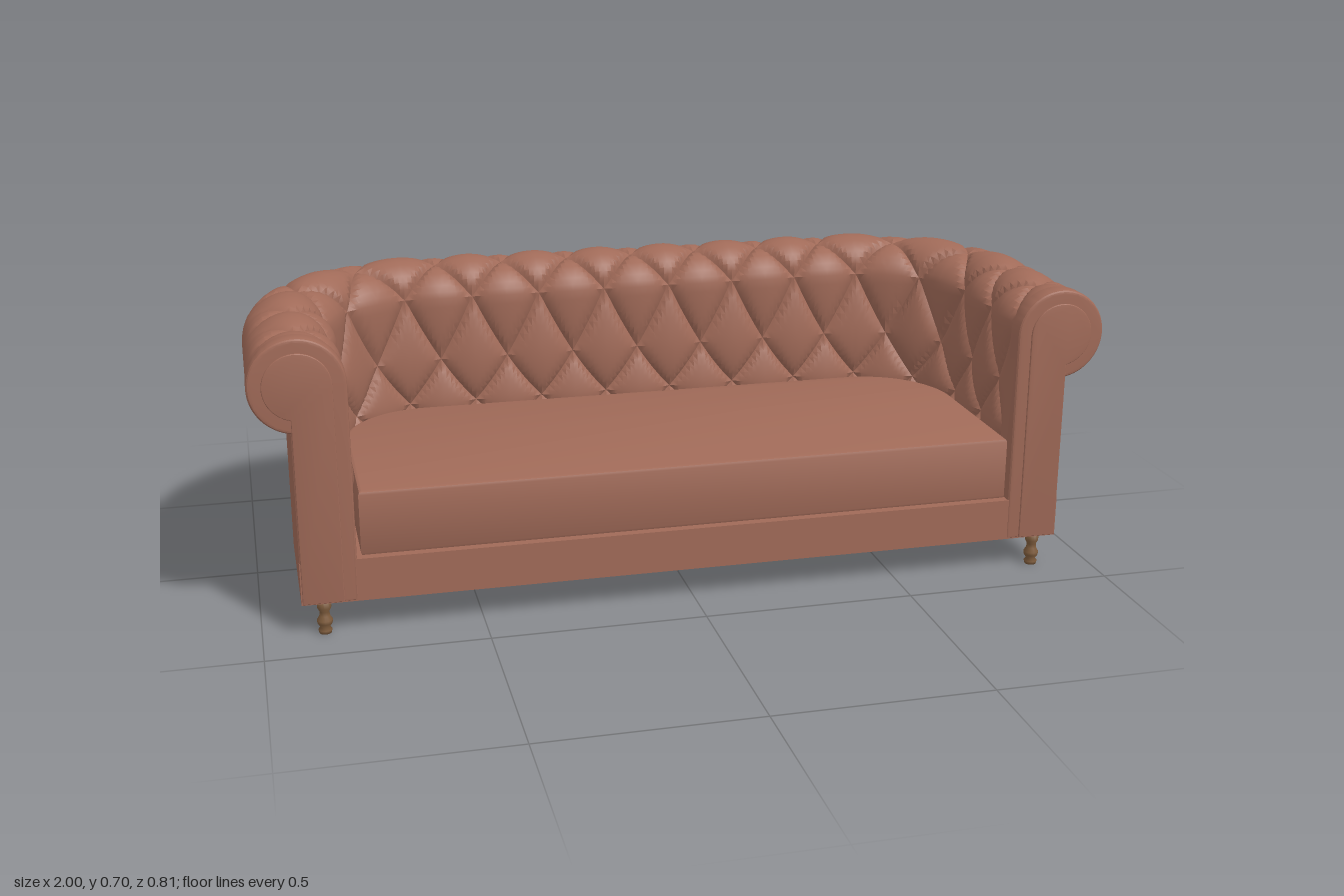
import * as THREE from 'three';
import { toCreasedNormals } from 'three/addons/utils/BufferGeometryUtils.js';

const leather = new THREE.MeshStandardMaterial({ color: 0xa06a58 });
const wood = new THREE.MeshStandardMaterial({ color: 0x7d5b3c });

const CX = 0.56, CZ = 0.03;              // centre of each rounded back corner
const ROLL_R = 0.33, ROLL_Y = 0.588, ROLL = 0.107;
const U_BACK = 6.6, U_ARM = 11.2, U_END = 15.5; // tuft columns along the U-shaped path

function add(group, name, geometry, material = leather) {
  const mesh = new THREE.Mesh(geometry, material);
  mesh.name = name;
  group.add(mesh);
  return mesh;
}

// Plan outline with a straight front and two rounded back corners (plan y = -z)
function planOutline(r, front, path = new THREE.Shape()) {
  path.moveTo(-CX - r, -front);
  path.lineTo(CX + r, -front);
  path.absarc(CX, -CZ, r, 0, Math.PI / 2);
  path.absarc(-CX, -CZ, r, Math.PI / 2, Math.PI);
  path.closePath();
  return path;
}

// Extrude a plan upward from y0 to y1
function slab(shape, y0, y1, bevel = 0) {
  const g = new THREE.ExtrudeGeometry(shape, {
    depth: y1 - y0 - 2 * bevel, curveSegments: 9, bevelEnabled: bevel > 0,
    bevelSize: bevel, bevelThickness: bevel, bevelOffset: -bevel, bevelSegments: 2,
  });
  g.rotateX(-Math.PI / 2);
  g.translate(0, y0 + bevel, 0);
  return toCreasedNormals(g, 0.4);
}

// Point on the U-shaped sweep at column u, distance r from the corner centre
function onPath(u, r, y) {
  const s = Math.sign(u), a = Math.abs(u);
  if (a <= U_BACK) return [s * a * CX / U_BACK, y, CZ - r];
  if (a <= U_ARM) {
    const t = (a - U_BACK) / (U_ARM - U_BACK) * Math.PI / 2;
    return [s * (CX + r * Math.sin(t)), y, CZ - r * Math.cos(t)];
  }
  return [s * (CX + r), y, CZ + (a - U_ARM) / (U_END - U_ARM) * 0.36];
}

// Cross-section at tuft row v: inner wall, then over the roll to its underside
function section(v) {
  if (v <= 2) return [0.212 + 0.0065 * v, 0.34 + 0.085 * v + 0.025 * v * v];
  const t = (169 - (v - 2) * 76) * Math.PI / 180;
  return [ROLL_R + ROLL * Math.cos(t), ROLL_Y + ROLL * Math.sin(t)];
}

// Depth of the diamond tufting below the puffed surface
function tuftDepth(u, v) {
  const a = (u + v + 1) / 2, b = (u - v - 1) / 2;
  const s = Math.abs(Math.sin(Math.PI * a) * Math.sin(Math.PI * b));
  const fadeOver = 1 - THREE.MathUtils.smoothstep(v, 3, 3.9);
  const fadeEnd = 1 - THREE.MathUtils.smoothstep(Math.abs(u), 14.5, 15.2);
  return 0.024 * (1 - Math.pow(s, 0.4)) * fadeOver * fadeEnd;
}

function tuftedGeometry() {
  const step = 1 / 8, nu = 2 * U_END / step, v0 = -0.25, nv = 46;
  const pos = [], depth = [], index = [];
  for (let j = 0; j <= nv; j++) {
    const v = v0 + j * step;
    const [r, y] = section(v), [ra, ya] = section(v - 0.01), [rb, yb] = section(v + 0.01);
    const len = Math.hypot(rb - ra, yb - ya);
    const nr = (yb - ya) / len, ny = -(rb - ra) / len; // points into the padding
    for (let i = 0; i <= nu; i++) {
      const u = -U_END + i * step, d = tuftDepth(u, v);
      depth.push(d);
      pos.push(...onPath(u, r + nr * d, y + ny * d));
    }
  }
  for (let j = 0; j < nv; j++) for (let i = 0; i < nu; i++) {
    const a = j * (nu + 1) + i, b = a + 1, c = b + nu + 1, d = a + nu + 1;
    // split each quad along the groove so that the creases stay crisp
    if (depth[a] + depth[c] >= depth[b] + depth[d]) index.push(a, b, c, a, c, d);
    else index.push(a, b, d, b, c, d);
  }
  const g = new THREE.BufferGeometry();
  g.setAttribute('position', new THREE.Float32BufferAttribute(pos, 3));
  g.setIndex(index);
  return toCreasedNormals(g, 0.6);
}

// Scroll-topped front of an arm; side is 1 or -1
function armFront(side, radius, outer, y0, zBack, zFront, bevel) {
  const cx = CX + ROLL_R, p = new THREE.Path();
  p.moveTo(cx - radius, y0);
  p.lineTo(outer, y0);
  p.absarc(cx, ROLL_Y, radius, -Math.acos((outer - cx) / radius), Math.PI);
  const shape = new THREE.Shape(p.getPoints(28).map(q => new THREE.Vector2(side * q.x, q.y)));
  const g = new THREE.ExtrudeGeometry(shape, {
    depth: zFront - zBack - 2 * bevel, bevelSize: bevel, bevelThickness: bevel,
    bevelOffset: -bevel, bevelSegments: 3,
  });
  g.translate(0, 0, zBack + bevel);
  return toCreasedNormals(g, 0.5);
}

export function createModel() {
  const sofa = new THREE.Group();
  sofa.name = 'sofa';

  // Base and the outer wall that carries the roll
  add(sofa, 'base', slab(planOutline(0.35, 0.398), 0.077, 0.178));
  const wall = new THREE.Shape();
  wall.moveTo(CX + 0.26, -0.39);
  wall.lineTo(CX + 0.35, -0.39);
  wall.absarc(CX, -CZ, 0.35, 0, Math.PI / 2);
  wall.absarc(-CX, -CZ, 0.35, Math.PI / 2, Math.PI);
  wall.lineTo(-CX - 0.35, -0.39);
  wall.lineTo(-CX - 0.26, -0.39);
  wall.absarc(-CX, -CZ, 0.26, Math.PI, Math.PI / 2, true);
  wall.absarc(CX, -CZ, 0.26, Math.PI / 2, 0, true);
  wall.closePath();
  add(sofa, 'outerWall', slab(wall, 0.178, 0.5));

  // Seat cushion
  add(sofa, 'seat', slab(planOutline(0.212, 0.394), 0.182, 0.335, 0.008));

  // Tufted back and arms with rolled top
  add(sofa, 'tuftedBackAndArms', tuftedGeometry());

  // Arm fronts, each with a raised facing
  for (const side of [1, -1]) {
    const name = side > 0 ? 'left' : 'right';
    add(sofa, name + 'ArmFront', armFront(side, 0.108, 0.91, 0.077, 0.35, 0.4, 0.008));
    add(sofa, name + 'ArmFacing', armFront(side, 0.076, 0.907, 0.08, 0.39, 0.404, 0.003));
  }

  // Turned legs
  const profile = [[0, 0], [0.014, 0], [0.016, 0.008], [0.011, 0.014], [0.017, 0.024], [0.018, 0.032],
    [0.012, 0.042], [0.011, 0.052], [0.016, 0.062], [0.016, 0.08], [0, 0.08]]
    .map(([x, y]) => new THREE.Vector2(x, y));
  const legGeometry = new THREE.LatheGeometry(profile, 16);
  for (const x of [-0.86, 0.86]) for (const z of [0.38, -0.056]) {
    const leg = add(sofa, (z > 0 ? 'front' : 'back') + (x > 0 ? 'Left' : 'Right') + 'Leg', legGeometry, wood);
    leg.position.set(x, 0, z);
  }
  return sofa;
}
